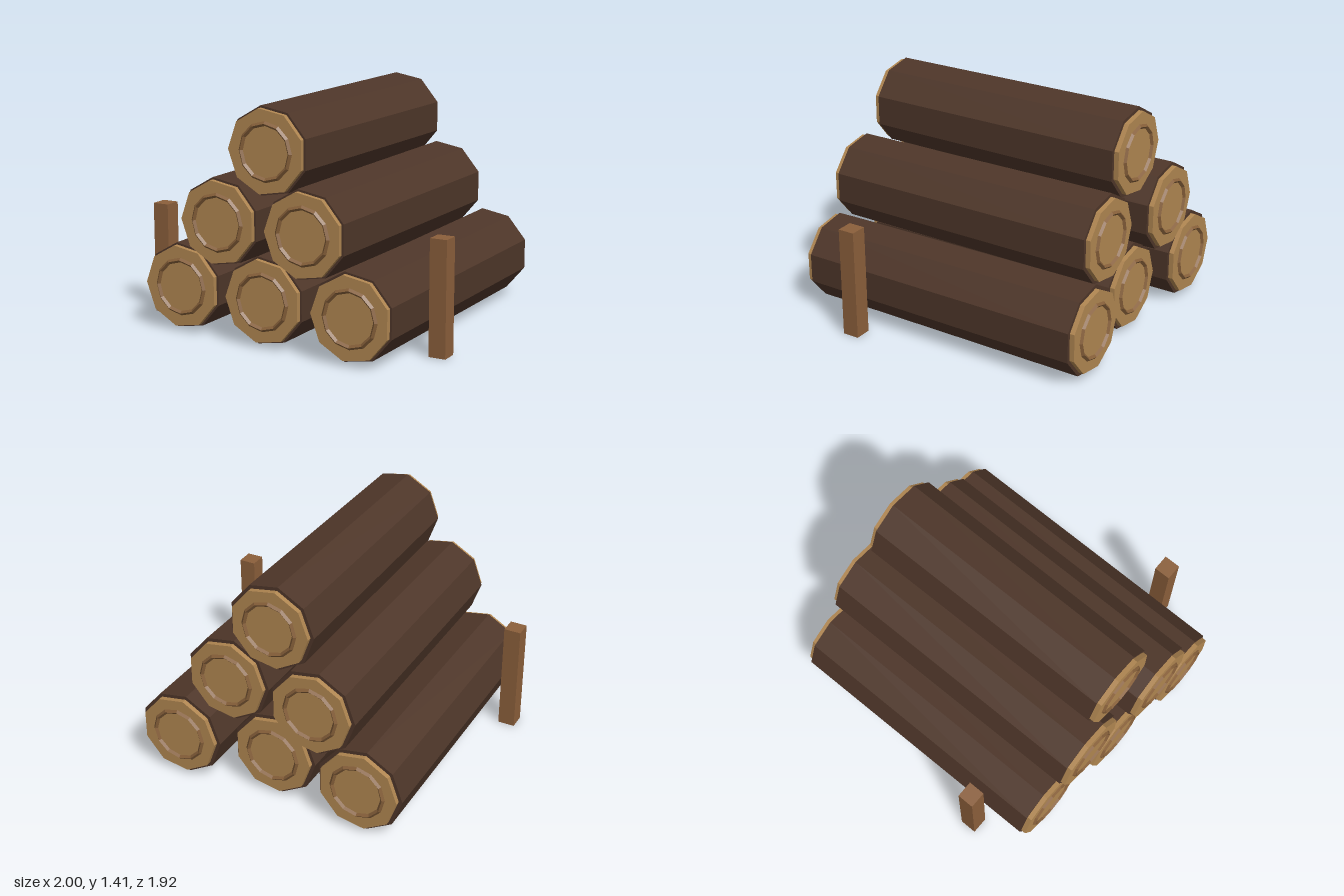
import * as THREE from 'three';

const flat = (name, color) => {
  const m = new THREE.MeshStandardMaterial({ color, flatShading: true });
  m.name = name;
  return m;
};

export function createModel() {
  const bark = flat('dark bark', 0x4e3629);
  const cutWood = flat('cut wood', 0xb08651);
  const growthRing = flat('growth ring', 0x87603a);
  const postWood = flat('post wood', 0x8b5f3b);

  const model = new THREE.Group();
  model.name = 'logPile';

  const add = (parent, name, geometry, material, x, y, z) => {
    const mesh = new THREE.Mesh(geometry, material);
    mesh.name = name;
    mesh.position.set(x, y, z);
    parent.add(mesh);
    return mesh;
  };

  // Nine-sided cylinder lying along z, with a corner pointing to -x
  const lying = (rFront, rBack, length) =>
    new THREE.CylinderGeometry(rFront, rBack, length, 9, 1, false, -Math.PI / 2).rotateX(Math.PI / 2);

  const capGeometry = lying(0.25, 0.25, 0.04);
  const ringGeometry = new THREE.TorusGeometry(0.163, 0.014, 4, 12);

  // Logs: x, y, back end, front end of the bark
  const logs = [
    [-0.6, 0.277, -0.92, 0.81],
    [0, 0.277, -0.84, 0.86],
    [0.6, 0.277, -0.92, 0.91],
    [-0.3, 0.708, -0.92, 0.86],
    [0.3, 0.708, -0.84, 0.91],
    [0, 1.139, -0.84, 0.81],
  ];
  for (const [x, y, back, front] of logs) {
    const log = new THREE.Group();
    log.name = 'log';
    log.position.set(x, y, 0);
    add(log, 'bark', lying(0.263, 0.272, front - back), bark, 0, 0, (front + back) / 2);
    // Sawn face and growth ring at each end
    for (const [end, s] of [[front, 1], [back, -1]]) {
      add(log, 'sawnEnd', capGeometry, cutWood, 0, 0, end + s * 0.01);
      add(log, 'growthRing', ringGeometry, growthRing, 0, 0, end + s * 0.03);
    }
    model.add(log);
  }

  // Upright stakes either side of the pile
  const postGeometry = new THREE.BoxGeometry(0.105, 0.69, 0.105);
  for (const s of [-1, 1]) {
    add(model, s > 0 ? 'leftPost' : 'rightPost', postGeometry, postWood, s * 0.9475, 0.345, 0.5);
  }

  return model;
}
